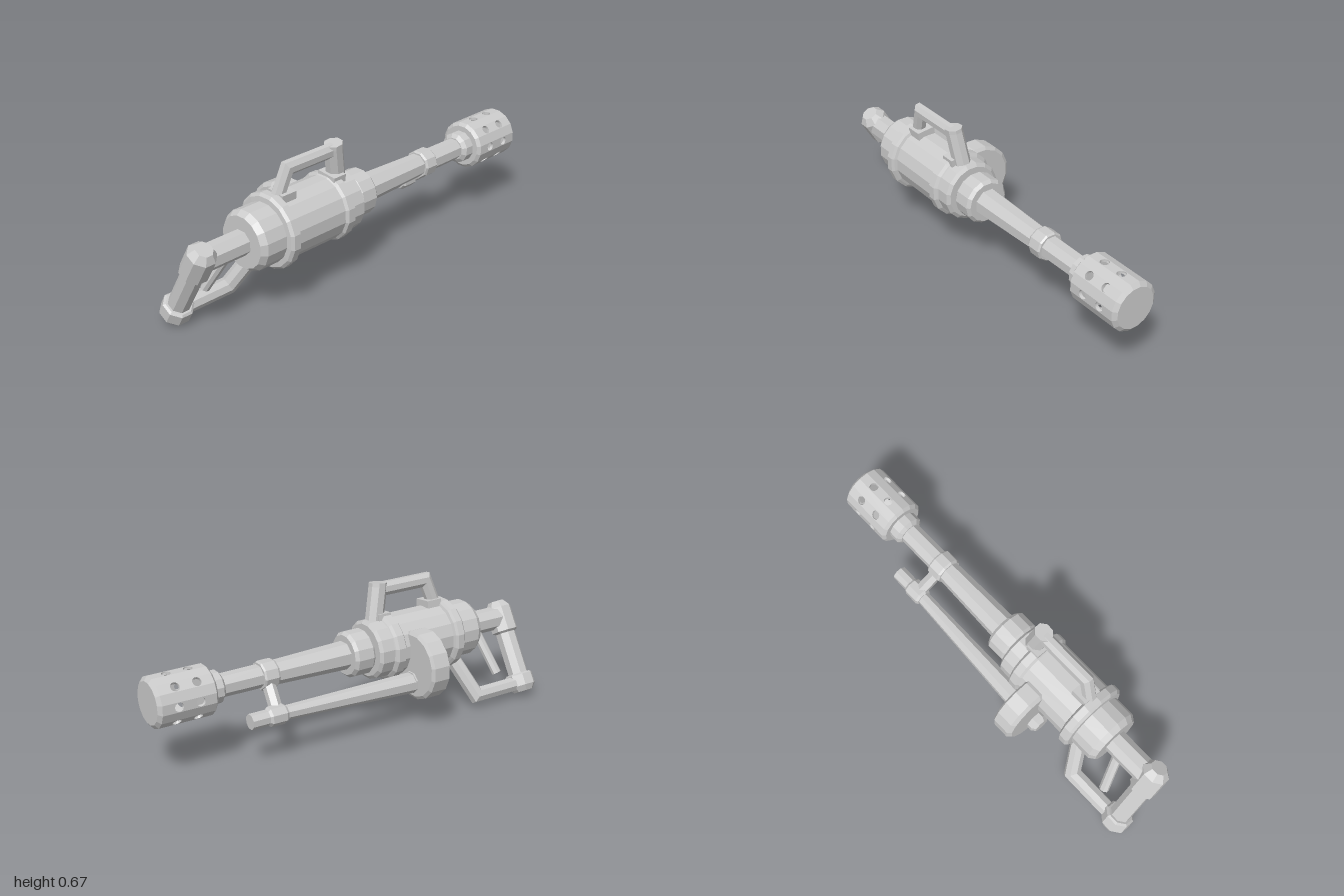
import * as THREE from 'three';
import { mergeGeometries } from 'three/addons/utils/BufferGeometryUtils.js';

const material = new THREE.MeshStandardMaterial({ color: 0xcccccc, flatShading: true });
const AX = 0.072, AY = 0.362; // main axis of body and barrel

function add(parent, name, geometry) {
  const mesh = new THREE.Mesh(geometry, material);
  mesh.name = name;
  parent.add(mesh);
  return mesh;
}

// Faceted solid of revolution; profile is [position along axis, radius], ends closed
function turned(profile, sides) {
  const pts = [[profile[0][0], 0], ...profile, [profile[profile.length - 1][0], 0]];
  return new THREE.LatheGeometry(pts.map(([t, r]) => new THREE.Vector2(r, t)), sides, Math.PI / sides);
}

// Turned along z at a given x, y
function turnedZ(parent, name, profile, sides, x = AX, y = AY) {
  const mesh = add(parent, name, turned(profile, sides).rotateX(Math.PI / 2));
  mesh.position.set(x, y, 0);
  return mesh;
}

// Tapered rod between two points
function rod(parent, name, from, to, r1, r2, sides) {
  const a = new THREE.Vector3(...from), b = new THREE.Vector3(...to);
  const dir = b.clone().sub(a);
  const mesh = add(parent, name, turned([[0, r1], [dir.length(), r2]], sides));
  mesh.position.copy(a);
  mesh.quaternion.setFromUnitVectors(new THREE.Vector3(0, 1, 0), dir.normalize());
  return mesh;
}

// Mitred octagonal bar along a [y, z] path; halfX and halfT are its half widths
function bar(parent, name, path, halfX, halfT) {
  const p = path.map(([y, z]) => new THREE.Vector2(y, z));
  const pos = [], index = [], n = 8, k = 1 / Math.cos(Math.PI / n);
  p.forEach((c, i) => {
    const t1 = i ? c.clone().sub(p[i - 1]).normalize() : null;
    const t2 = i < p.length - 1 ? p[i + 1].clone().sub(c).normalize() : null;
    const t = (t1 || t2).clone().add(t2 || t1).normalize();
    const b = halfT * k / t.dot(t1 || t2);
    for (let j = 0; j < n; j++) {
      const q = (j + 0.5) / n * Math.PI * 2;
      pos.push(Math.cos(q) * halfX * k, c.x + t.y * b * Math.sin(q), c.y - t.x * b * Math.sin(q));
      if (i) {
        const d = i * n + j, e = i * n + (j + 1) % n;
        index.push(d - n, e - n, e, d - n, e, d);
      }
    }
  });
  const last = (p.length - 1) * n;
  for (let j = 1; j < n - 1; j++) index.push(0, j + 1, j, last, last + j, last + j + 1);
  const g = new THREE.BufferGeometry();
  g.setAttribute('position', new THREE.Float32BufferAttribute(pos, 3));
  g.setIndex(index);
  g.computeVertexNormals();
  return add(parent, name, g);
}

// Group on the main axis, rolled around it
function rolledGroup(parent, name, roll) {
  const g = new THREE.Group();
  g.name = name;
  g.position.set(AX, AY, 0);
  g.rotation.z = roll;
  parent.add(g);
  return g;
}

// Hollow muzzle drum: flat panels, every other one pierced by two holes
function buildMuzzle(parent) {
  const sides = 16, apothem = 0.113, R = apothem / Math.cos(Math.PI / sides);
  const w = apothem * Math.tan(Math.PI / sides), depth = 0.014;
  const panels = [];
  for (let i = 0; i < sides; i++) {
    const s = new THREE.Shape([[-w, 0.735], [w, 0.735], [w, 0.98], [-w, 0.98]].map(v => new THREE.Vector2(...v)));
    if (i % 2 === 0) {
      for (const y of [0.807, 0.908]) s.holes.push(new THREE.Path().absarc(0, y, 0.0205, 0, Math.PI * 2, true));
    }
    const g = new THREE.ExtrudeGeometry(s, { depth, bevelEnabled: false, curveSegments: 10 });
    panels.push(g.translate(0, 0, apothem - depth).rotateX(-Math.PI / 2).rotateZ(i / sides * Math.PI * 2));
  }
  add(parent, 'muzzleShroud', mergeGeometries(panels)).position.set(AX, AY, 0);
  turnedZ(parent, 'muzzleFrontCap', [[-1, 0.096], [-0.985, R], [-0.972, R]], sides);
  turnedZ(parent, 'muzzleRearCap', [[-0.745, R], [-0.733, R], [-0.72, 0.1]], sides);
}

export function createModel() {
  const model = new THREE.Group();
  model.name = 'heavyBlaster';

  // Muzzle and barrel
  buildMuzzle(model);
  turnedZ(model, 'muzzleCollar', [[-0.725, 0.075], [-0.675, 0.075], [-0.66, 0.056]], 12);
  turnedZ(model, 'barrel', [[-0.73, 0.052], [-0.45, 0.054], [0.02, 0.068]], 8);
  turnedZ(model, 'barrelRing', [[-0.468, 0.062], [-0.46, 0.068], [-0.4, 0.068], [-0.39, 0.062]], 10);
  turnedZ(model, 'barrelCollar', [[-0.015, 0.095], [0, 0.109], [0.08, 0.109], [0.092, 0.1]], 14);
  turnedZ(model, 'barrelNeck', [[0.08, 0.085], [0.12, 0.085]], 14);

  // Main body with its flanges
  turnedZ(model, 'body', [
    [0.1, 0.125], [0.112, 0.141], [0.175, 0.141], [0.178, 0.146], [0.188, 0.159], [0.225, 0.159],
    [0.235, 0.147], [0.512, 0.147], [0.517, 0.16], [0.525, 0.172], [0.558, 0.172], [0.57, 0.16],
    [0.572, 0.137], [0.675, 0.137], [0.702, 0.118]], 16);
  turnedZ(model, 'rearTube', [[0.69, 0.058], [0.92, 0.058]], 8);

  // Side drum and lower tube
  turnedZ(model, 'sideDrum', [[0.258, 0.148], [0.268, 0.163], [0.35, 0.163], [0.365, 0.145]], 16, -0.088, 0.3);
  rod(model, 'lowerTube', [-0.068, 0.226, -0.44], [-0.085, 0.216, 0.27], 0.032, 0.05, 8);
  turnedZ(model, 'lowerTubeEnd', [[0.25, 0.052], [0.39, 0.052], [0.408, 0.036]], 8, -0.085, 0.219);
  turnedZ(model, 'lowerTubeRing', [[-0.512, 0.035], [-0.5, 0.046], [-0.43, 0.046], [-0.418, 0.038]], 8, -0.068, 0.225);
  turnedZ(model, 'lowerTubeTip', [[-0.595, 0.036], [-0.5, 0.036]], 8, -0.068, 0.225);
  rod(model, 'tubeBracket', [-0.068, 0.225, -0.457], [AX, AY, -0.43], 0.03, 0.03, 6);

  // Carry handle, leaning slightly outward
  const carry = rolledGroup(model, 'carryHandle', -0.11);
  bar(carry, 'handleFrontLeg', [[0.1, 0.158], [0.285, 0.195], [0.304, 0.197]], 0.037, 0.042);
  bar(carry, 'handleBar', [[0.271, 0.18], [0.271, 0.466], [0.15, 0.51]], 0.028, 0.032);
  add(carry, 'handleFrontFoot', new THREE.BoxGeometry(0.1, 0.05, 0.07)).position.set(0.005, 0.138, 0.195);
  add(carry, 'handleRearFoot', new THREE.BoxGeometry(0.09, 0.06, 0.08)).position.set(0, 0.145, 0.485);

  // Rear grip frame, rolled to the side
  const grip = rolledGroup(model, 'rearGrip', -0.53);
  const upright = (name, profile) => add(grip, name, turned(profile, 8)).position.set(0, 0, 0.928);
  upright('gripElbow', [[-0.085, 0.05], [-0.075, 0.066], [0.045, 0.066], [0.078, 0.04]]);
  upright('grip', [[-0.33, 0.05], [-0.05, 0.05]]);
  upright('gripFoot', [[-0.388, 0.048], [-0.36, 0.07], [-0.305, 0.07], [-0.297, 0.06]]);
  bar(grip, 'gripGuard', [[-0.342, 0.92], [-0.342, 0.64], [-0.12, 0.56]], 0.037, 0.034);
  bar(grip, 'trigger', [[-0.03, 0.75], [-0.265, 0.8]], 0.019, 0.022);

  return model;
}
